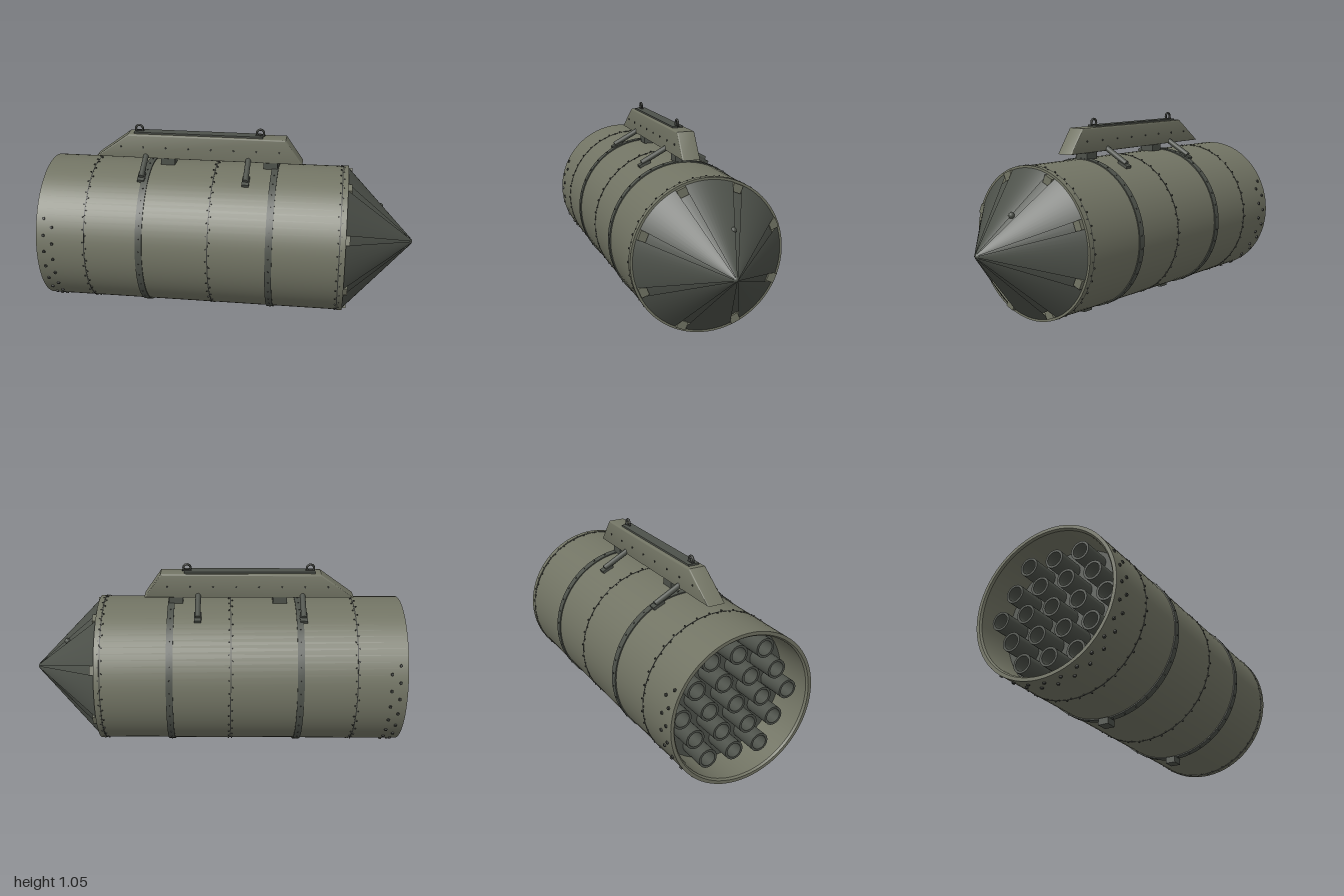
import * as THREE from 'three';
import { toCreasedNormals } from 'three/addons/utils/BufferGeometryUtils.js';

const CY = 0.435; // height of the pod axis
const R = 0.397;  // pod radius
const RAD = Math.PI / 180;

const mat = (name, color, side = THREE.FrontSide) => {
  const m = new THREE.MeshStandardMaterial({ color, side });
  m.name = name;
  return m;
};

export function createModel() {
  const olive = mat('olive paint', 0x727464);
  const dark = mat('dark grey green', 0x4d514a, THREE.DoubleSide);
  const steel = mat('dark steel', 0x3a3c38);

  const model = new THREE.Group();
  model.name = 'rocketPod';

  const add = (name, geo, material, x = 0, y = 0, z = 0, parent = model) => {
    const mesh = new THREE.Mesh(geo, material);
    mesh.name = name;
    mesh.position.set(x, y, z);
    parent.add(mesh);
    return mesh;
  };
  const group = (name) => {
    const g = new THREE.Group();
    g.name = name;
    model.add(g);
    return g;
  };
  // Surface of revolution about the pod axis, from [radius, x] pairs
  const turned = (pts, seg = 72) => toCreasedNormals(
    new THREE.LatheGeometry(pts.map(p => new THREE.Vector2(p[0], p[1])), seg).rotateZ(-Math.PI / 2), 0.5);
  const band = (x, w, r) => turned([[R - 0.01, x - w / 2], [r, x - w / 2], [r, x + w / 2], [R - 0.01, x + w / 2]]);

  // Main shell with an open, lipped rear end
  add('shell', turned([[0, -0.78], [0.372, -0.78], [0.372, -0.99], [0.38, -1], [R, -1], [R, 0.634], [0.345, 0.634], [0, 0.634]]),
    olive, 0, CY);
  add('rearBulkhead', new THREE.CylinderGeometry(0.371, 0.371, 0.01, 48).rotateZ(Math.PI / 2), dark, -0.785, CY);
  add('frontRing', band(0.62, 0.028, R + 0.003), olive, 0, CY);

  // Launch tubes in a hexagonal pack
  const tubes = group('launchTubes');
  const tubeGeo = turned([[0, -0.82], [0.038, -0.82], [0.038, -0.94], [0.05, -0.94], [0.05, -0.78]], 20);
  for (let row = -2; row <= 2; row++) {
    const n = 5 - Math.abs(row);
    for (let i = 0; i < n; i++) add('tube', tubeGeo, dark, 0, CY + row * 0.13, (i - (n - 1) / 2) * 0.15, tubes);
  }

  // Rivets sit on the shell at an angle measured from +z upwards
  const rivets = group('rivets');
  const rivet = (geo, x, deg, r = R) => {
    const m = add('rivet', geo, steel, x, CY + r * Math.sin(deg * RAD), r * Math.cos(deg * RAD), rivets);
    m.rotation.x = (90 - deg) * RAD;
  };
  const small = new THREE.CylinderGeometry(0.004, 0.005, 0.01, 6);
  const large = new THREE.CylinderGeometry(0.008, 0.01, 0.014, 6);

  // Panel seams with staggered rivets on both sides
  for (const x of [-0.74, -0.08, 0.603]) {
    add('seam', band(x, 0.005, R + 0.0015), steel, 0, CY);
    for (let i = 0; i < 72; i++) rivet(small, x + (i % 2 ? 0.009 : -0.009), i * 5);
  }
  // Two staggered rows of bolts at the rear, leaving the top clear
  for (let i = 0; i < 19; i++) {
    rivet(large, -0.96, 27 - i * 13);
    if (i < 18) rivet(large, -0.915, 20.5 - i * 13);
  }

  // Clamp straps with buckles below and spacers above
  for (const x of [-0.445, 0.24]) {
    add('strap', band(x, 0.036, R + 0.006), dark, 0, CY);
    add('strapBuckle', new THREE.BoxGeometry(0.062, 0.034, 0.056), dark, x, 0.017);
    for (let i = 0; i < 36; i++) rivet(small, x, i * 10 + 5, R + 0.004);
  }
  for (const x of [-0.345, 0.215]) add('pylonSpacer', new THREE.BoxGeometry(0.076, 0.04, 0.08), dark, x, 0.853);

  // Nose: an inner cone under eight petals separated by narrow gaps
  add('innerCone', new THREE.CylinderGeometry(0.006, 0.352, 0.355, 64, 1, true).rotateZ(-Math.PI / 2), dark, 0.8145, CY);
  const nose = group('nosePetals');
  const half = 18.8 * RAD;
  for (let k = 0; k < 8; k++) {
    const petal = new THREE.CylinderGeometry(0.01, 0.388, 0.364, 10, 1, true, k * Math.PI / 4 - half, half * 2);
    add('petal', petal.rotateZ(-Math.PI / 2), dark, 0.816, CY, 0, nose);
    // Bracket at the foot of each gap
    const a = (k + 0.5) * Math.PI / 4;
    const tab = add('petalBracket', new THREE.BoxGeometry(0.03, 0.042, 0.05), olive,
      0.64, CY + 0.366 * Math.sin(a), 0.366 * Math.cos(a), nose);
    tab.rotation.x = Math.PI / 2 - a;
  }
  add('noseTip', new THREE.SphereGeometry(0.013, 12, 8), dark, 0.987, CY, 0);
  add('noseStud', new THREE.SphereGeometry(0.016, 12, 8), dark, 0.815, 0.615, -0.055);

  // Pylon with sloped ends and softened edges
  const b = 0.008;
  const side = new THREE.Shape([[-0.73, 0.873], [0.375, 0.873], [0.29, 0.992], [-0.558, 0.992]]
    .map(p => new THREE.Vector2(p[0], p[1])));
  const pylonGeo = new THREE.ExtrudeGeometry(side, {
    depth: 0.08, bevelEnabled: true, bevelSize: b, bevelThickness: b, bevelSegments: 3,
  }).translate(0, 0, -0.04);
  add('pylon', toCreasedNormals(pylonGeo, 0.6), olive);
  add('pylonRail', new THREE.BoxGeometry(0.7, 0.012, 0.06), dark, -0.18, 1.003);

  // Pylon side screws
  const screw = new THREE.CylinderGeometry(0.005, 0.005, 0.006, 8).rotateX(Math.PI / 2);
  for (let i = 0; i < 8; i++) {
    for (const s of [-1, 1]) add('pylonScrew', screw, steel, -0.6 + i * 0.123, 0.93, s * 0.049);
  }

  // Suspension lugs
  for (const x of [-0.505, 0.155]) {
    add('lugRing', new THREE.TorusGeometry(0.019, 0.006, 8, 24), steel, x, 1.022);
    add('lugBase', new THREE.BoxGeometry(0.05, 0.006, 0.012), steel, x, 1.009);
  }

  // Sway braces with foot pads lying on the shell
  for (const x of [-0.465, 0.095]) {
    for (const s of [-1, 1]) {
      const from = new THREE.Vector3(x, 0.882, s * 0.04);
      const to = new THREE.Vector3(x, 0.808, s * 0.178);
      const dir = to.clone().sub(from);
      const mid = from.clone().add(to).multiplyScalar(0.5);
      const arm = add('braceArm', new THREE.CylinderGeometry(0.015, 0.015, dir.length(), 12), dark, mid.x, mid.y, mid.z);
      arm.quaternion.setFromUnitVectors(new THREE.Vector3(0, 1, 0), dir.normalize());
      const t = Math.asin(0.165 / 0.405);
      const foot = add('braceFoot', new THREE.BoxGeometry(0.038, 0.018, 0.065), dark,
        x, CY + 0.402 * Math.cos(t), s * 0.402 * Math.sin(t));
      foot.rotation.x = s * t;
    }
  }

  return model;
}
